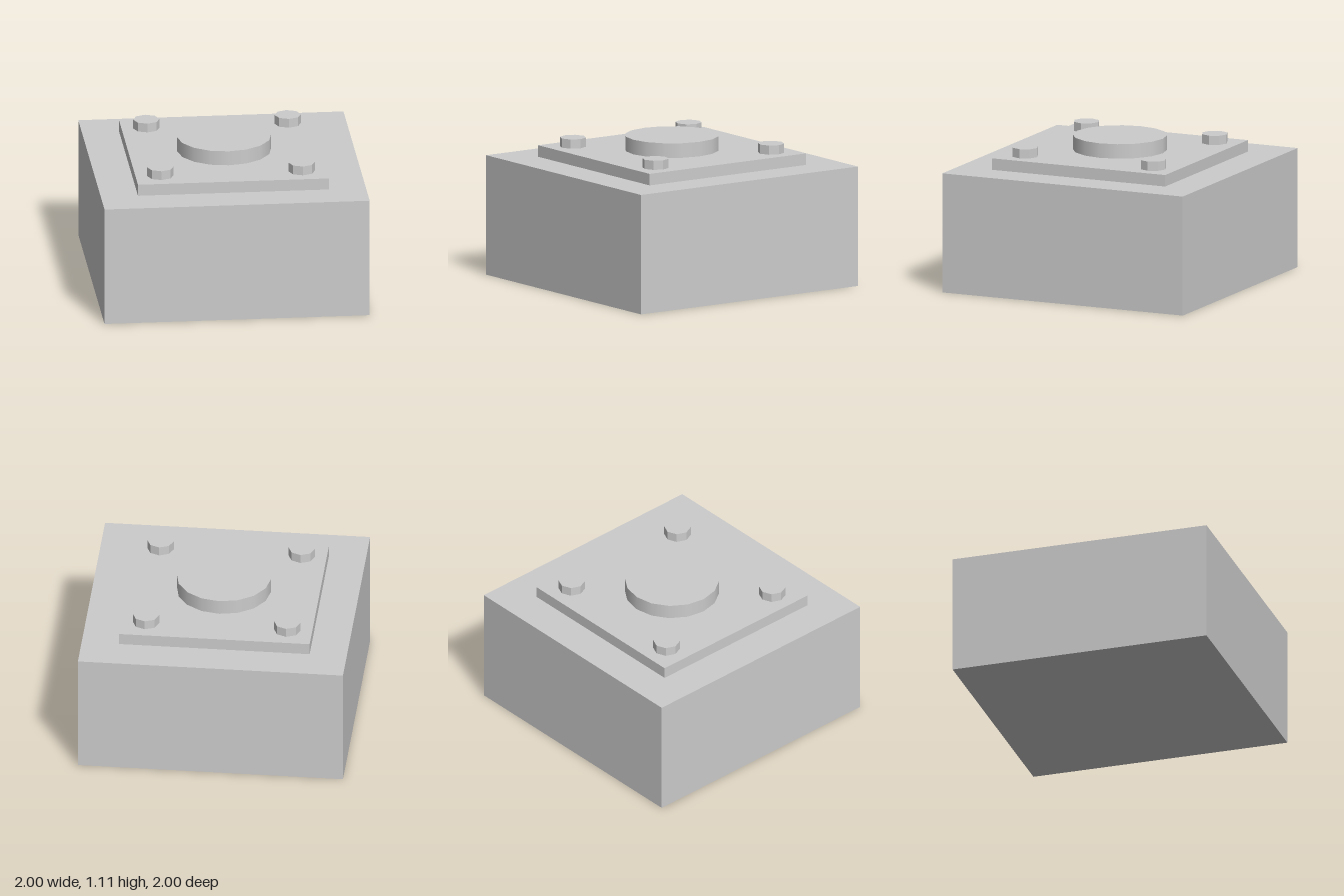
import * as THREE from 'three';

export function createModel() {
  const model = new THREE.Group();
  const grey = new THREE.MeshStandardMaterial({ color: 0xcccccc });
  grey.name = 'light grey';
  const facetedGrey = grey;

  // Places a geometry of the given height so that it rests on the level y
  function add(name, geometry, height, y, x = 0, z = 0) {
    const mesh = new THREE.Mesh(geometry, facetedGrey);
    mesh.name = name;
    mesh.position.set(x, y + height / 2, z);
    model.add(mesh);
  }

  // Block and raised mounting plate
  add('baseBlock', new THREE.BoxGeometry(2, 0.912, 2), 0.912, 0);
  add('mountingPlate', new THREE.BoxGeometry(1.44, 0.088, 1.44), 0.088, 0.912);

  // Smooth-sided round boss in the middle
  add('centreBoss', new THREE.CylinderGeometry(0.355, 0.355, 0.111, 16), 0.111, 1);

  // Faceted eight-sided bolt head at each corner of the plate
  const bolt = new THREE.CylinderGeometry(0.1, 0.1, 0.07, 8).toNonIndexed();
  bolt.computeVertexNormals();
  for (const x of [-0.533, 0.533]) {
    for (const z of [-0.533, 0.533]) {
      const side = x > 0 ? 'Left' : 'Right';
      add((z > 0 ? 'front' : 'back') + side + 'Bolt', bolt, 0.07, 1, x, z);
    }
  }
  return model;
}
